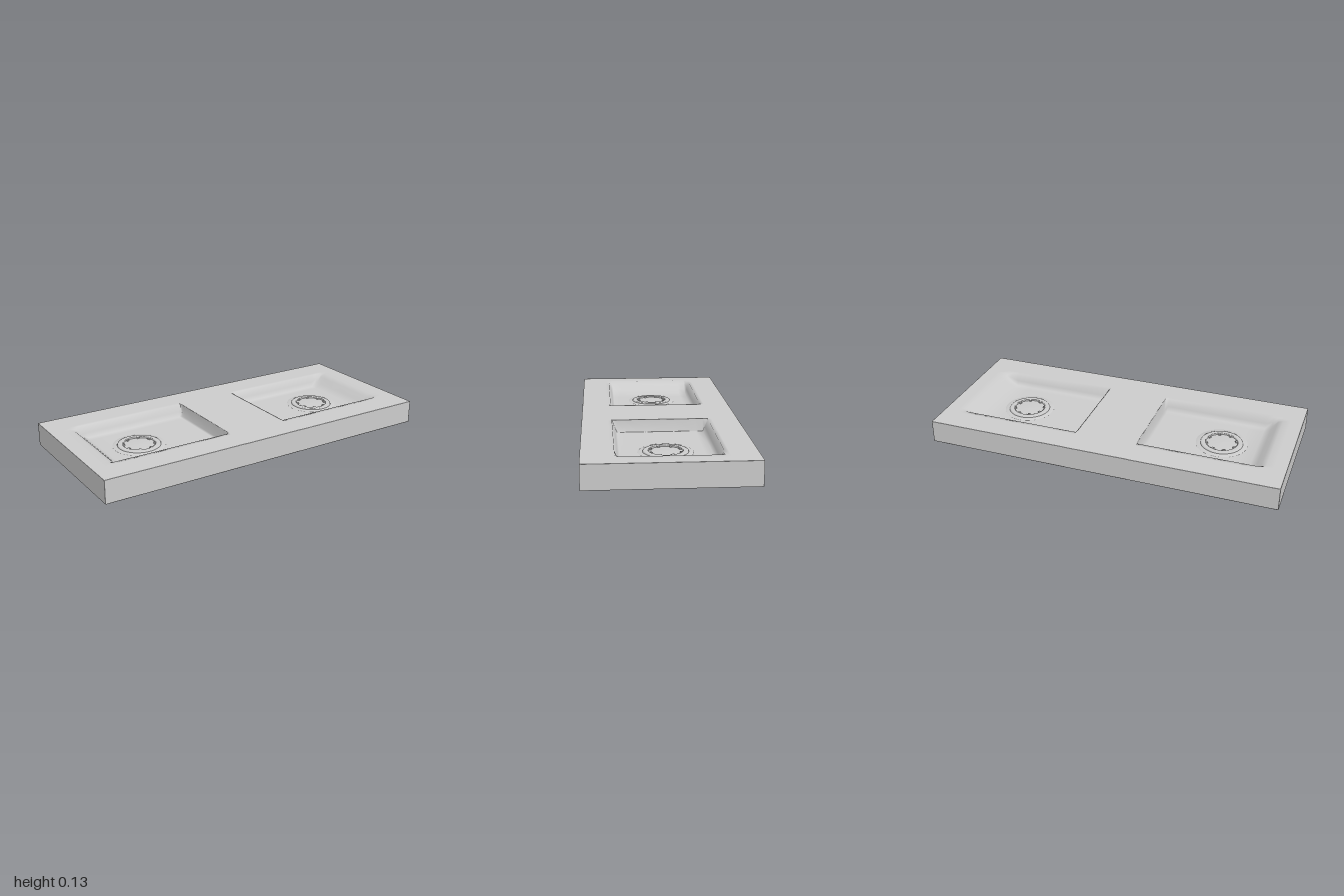
import * as THREE from 'three';
import { mergeVertices } from 'three/addons/utils/BufferGeometryUtils.js';

const TOP = 0.13, FLOOR = 0.062;

// Turn the positive half of a line list into a symmetric, sorted one
const mirrored = (half) => [...half.map((v) => -v).reverse(), ...half];

// Slab: a gridded box whose top vertices are pressed down inside the two basins
function slabGeometry() {
  const xs = mirrored([0.06, 0.174, 0.18, 0.182, 0.2, 0.5, 0.7, 0.79, 0.83, 0.86, 0.89, 0.93, 0.97, 0.998, 1]);
  const zs = mirrored([0.08, 0.2, 0.24, 0.252, 0.268, 0.29, 0.4, 0.433, 0.436]);
  const ys = [0, 0.003, 0.01, 0.12, 0.128, TOP];
  const nx = xs.length - 1, ny = ys.length - 1, nz = zs.length - 1;
  const box = new THREE.BoxGeometry(1, 1, 1, nx, ny, nz);
  box.deleteAttribute('normal');
  box.deleteAttribute('uv');
  const p = box.attributes.position;
  const smooth = THREE.MathUtils.smoothstep;
  for (let i = 0; i < p.count; i++) {
    const x = xs[Math.round((p.getX(i) + 0.5) * nx)];
    const z = zs[Math.round((p.getZ(i) + 0.5) * nz)];
    let y = ys[Math.round((p.getY(i) + 0.5) * ny)];
    if (y === TOP) {
      // steep inner wall, sloped outer end, steep soft long sides
      const ax = Math.abs(x), az = Math.abs(z);
      const inside = ax > 0.181 ? 1 - smooth(ax, 0.79, 0.89) : 0;
      y -= (TOP - FLOOR) * inside * (1 - smooth(az, 0.24, 0.268));
    }
    p.setXYZ(i, x, y, z);
  }
  const geometry = mergeVertices(box, 1e-5);
  geometry.computeVertexNormals();
  return geometry;
}

function createDrain(material) {
  const drain = new THREE.Group();
  drain.name = 'drain';
  const add = (geometry, name) => {
    const mesh = new THREE.Mesh(geometry, material);
    mesh.name = name;
    drain.add(mesh);
    return mesh;
  };
  const lathe = (points) => new THREE.LatheGeometry(points.map(([r, y]) => new THREE.Vector2(r, y)), 48);

  // Low outer flange, raised inner collar and a shallow domed cup
  add(lathe([[0.145, -0.004], [0.145, 0.002], [0.12, 0.004]]), 'drainFlange');
  add(lathe([[0.12, 0.003], [0.118, 0.009], [0.113, 0.011], [0.094, 0.011], [0.09, 0.009], [0.09, 0.002]]), 'drainCollar');
  add(lathe([[0.091, 0.002], [0.07, 0.003], [0.04, 0.005], [0, 0.006]]), 'drainCover');

  // Small teeth round the inside of the collar
  for (let i = 0; i < 8; i++) {
    const a = ((i + 0.5) / 8) * Math.PI * 2;
    const tooth = add(new THREE.BoxGeometry(0.012, 0.008, 0.014), 'drainTooth');
    tooth.position.set(Math.cos(a) * 0.084, 0.006, Math.sin(a) * 0.084);
    tooth.rotation.y = -a;
  }
  return drain;
}

export function createModel() {
  const model = new THREE.Group();
  model.name = 'doubleSink';
  const material = new THREE.MeshStandardMaterial({ color: 0xcccccc, side: THREE.DoubleSide });

  const slab = new THREE.Mesh(slabGeometry(), material);
  slab.name = 'basinSlab';
  model.add(slab);

  for (const side of [-1, 1]) {
    const drain = createDrain(material);
    drain.name = side > 0 ? 'leftDrain' : 'rightDrain';
    drain.position.set(side * 0.592, FLOOR, 0);
    model.add(drain);
  }
  return model;
}
